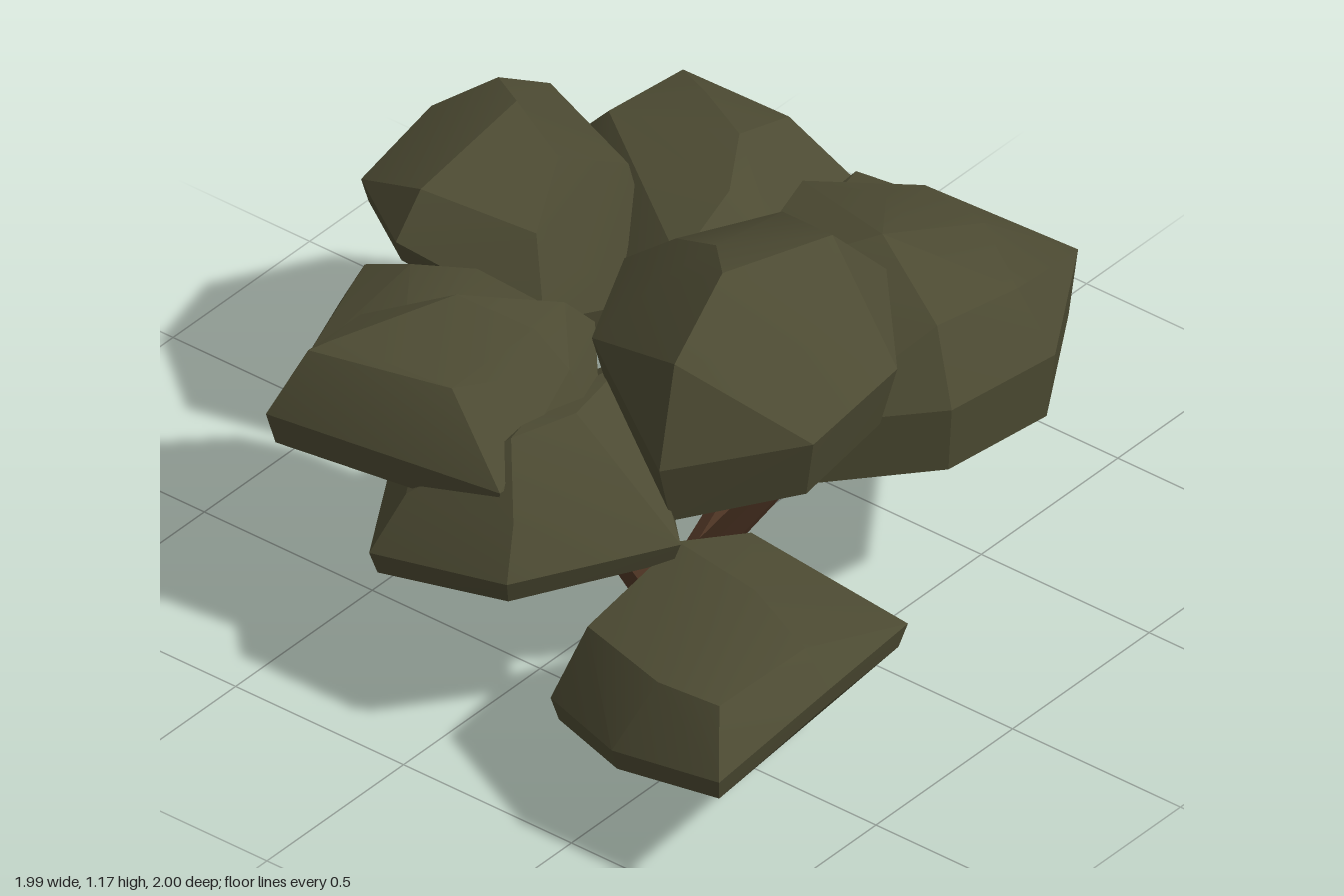
import * as THREE from 'three';
import { ConvexGeometry } from 'three/addons/geometries/ConvexGeometry.js';
import { toCreasedNormals } from 'three/addons/utils/BufferGeometryUtils.js';

const leaf = new THREE.MeshStandardMaterial({ color: 0x4d4b33 });
leaf.name = 'olive leaves';
const bark = new THREE.MeshStandardMaterial({ color: 0x553a28 });
bark.name = 'brown bark';

const V = (p) => new THREE.Vector3(...p);

// Faceted leaf clump: widest rim, shoulder ring, crown points and a flat underside
function clump(name, { rim, crown, drop = 0.06, shoulder = 0.78, rise = 0.64, inset = 0.05 }) {
  const ring = rim.map(V);
  const top = crown.map(V);
  const mid = ring.reduce((s, p) => s.add(p), new THREE.Vector3()).divideScalar(ring.length);
  const peak = Math.max(...top.map((p) => p.y));
  const points = [...ring, ...top];
  ring.forEach((p, i) => {
    const under = p.clone().lerp(mid, inset);
    under.y = p.y - drop;
    points.push(under);
    if (i % 3 !== 2) {
      const s = mid.clone().lerp(p, shoulder);
      s.y = p.y + (peak - p.y) * rise;
      points.push(s);
    }
  });
  const mesh = new THREE.Mesh(toCreasedNormals(new ConvexGeometry(points), 0.35), leaf);
  mesh.name = name;
  return mesh;
}

// Straight six-sided branch between two points
function branch(name, from, to) {
  const a = V(from), b = V(to);
  const dir = b.clone().sub(a);
  const geo = new THREE.CylinderGeometry(0.03, 0.042, dir.length(), 6);
  const mesh = new THREE.Mesh(toCreasedNormals(geo, 0.4), bark);
  mesh.name = name;
  mesh.position.copy(a).addScaledVector(dir, 0.5);
  mesh.quaternion.setFromUnitVectors(new THREE.Vector3(0, 1, 0), dir.normalize());
  return mesh;
}

const clumps = {
  topClump: {
    rim: [[-0.05, 0.93, 0.13], [0.04, 0.87, 0.36], [0.42, 0.78, 0.58], [0.7, 0.86, 0.36],
      [0.73, 0.94, 0.09], [0.51, 1.0, -0.14], [0.12, 0.88, -0.31]],
    crown: [[0.28, 1.15, 0.2], [0.38, 1.17, 0.3], [0.48, 1.17, 0.02], [0.4, 1.03, 0.5]],
    drop: 0.17, shoulder: 0.6, rise: 0.55, inset: 0.12,
  },
  rightClump: {
    rim: [[-0.02, 0.74, -0.4], [0.3, 0.8, -0.58], [0.65, 0.83, -0.67], [0.85, 0.8, -0.34],
      [0.77, 0.76, -0.06], [0.5, 0.71, 0.14], [0.12, 0.7, 0.1], [0.08, 0.72, -0.3]],
    crown: [[0.45, 1.04, -0.2], [0.55, 0.98, -0.45], [0.3, 0.98, -0.4]], drop: 0.18,
  },
  backClump: {
    rim: [[-0.22, 0.45, -0.91], [0.07, 0.35, -1.0], [0.41, 0.37, -0.83], [0.37, 0.38, -0.56],
      [0.1, 0.39, -0.29], [-0.1, 0.43, -0.34], [-0.2, 0.45, -0.6]],
    crown: [[0.1, 0.65, -0.7], [0.19, 0.63, -0.45], [-0.08, 0.63, -0.6]], shoulder: 0.8, rise: 0.7,
  },
  backLeftClump: {
    rim: [[-0.74, 0.58, -0.9], [-0.36, 0.54, -0.93], [-0.12, 0.49, -0.9], [-0.02, 0.44, -0.45],
      [-0.18, 0.45, -0.19], [-0.45, 0.48, -0.25], [-0.78, 0.57, -0.6]],
    crown: [[-0.35, 0.72, -0.66], [-0.52, 0.71, -0.75], [-0.25, 0.69, -0.5]],
  },
  leftClump: {
    rim: [[-0.83, 0.5, -0.6], [-1.0, 0.57, -0.25], [-0.94, 0.69, 0.0], [-0.69, 0.72, 0.18],
      [-0.33, 0.6, 0.08], [-0.34, 0.47, -0.24], [-0.45, 0.35, -0.5]],
    crown: [[-0.68, 0.89, -0.25], [-0.8, 0.86, -0.33], [-0.5, 0.85, -0.18]],
  },
  frontLeftClump: {
    rim: [[-0.56, 0.5, 0.15], [-0.71, 0.64, 0.36], [-0.62, 0.64, 0.61], [-0.35, 0.53, 0.63],
      [-0.05, 0.5, 0.5], [-0.03, 0.47, 0.2], [-0.25, 0.46, 0.13]],
    crown: [[-0.35, 0.86, 0.3], [-0.5, 0.84, 0.36], [-0.15, 0.83, 0.28]], drop: 0.08,
  },
  frontUpperClump: {
    rim: [[-0.54, 0.66, 0.84], [-0.52, 0.7, 0.62], [-0.32, 0.8, 0.42], [-0.04, 0.82, 0.25],
      [0.14, 0.7, 0.45], [0.1, 0.68, 0.77]],
    crown: [[-0.25, 0.94, 0.5], [-0.05, 0.91, 0.46], [-0.43, 0.86, 0.74], [-0.1, 0.85, 0.7]], drop: 0.08,
  },
  frontLowerClump: {
    rim: [[-0.45, 0.35, 0.5], [-0.2, 0.44, 0.88], [0.5, 0.62, 0.6], [0.21, 0.53, 0.88],
      [0.28, 0.58, 0.4], [0.02, 0.53, 0.12], [-0.3, 0.4, 0.28]],
    crown: [[0.05, 0.79, 0.58], [0.14, 0.8, 0.54], [0.06, 0.77, 0.68], [0.05, 0.75, 0.24]], rise: 0.4,
  },
  lowClump: {
    rim: [[0.35, 0.34, 0.5], [0.46, 0.39, 0.26], [0.9, 0.39, 0.26], [0.99, 0.46, 0.66],
      [0.94, 0.36, 1.0], [0.62, 0.31, 1.0], [0.34, 0.27, 0.88]],
    crown: [[0.45, 0.58, 0.55], [0.72, 0.59, 0.6], [0.85, 0.54, 0.68], [0.7, 0.5, 0.93]],
  },
};

const branches = {
  rightBranch: [[0.06, 0.02, 0.12], [0.47, 0.61, 0.06]],
  backBranch: [[0.07, 0.02, 0.09], [0.22, 0.64, -0.34]],
  frontBranch: [[0.05, 0.02, 0.14], [0.09, 0.52, 0.48]],
  leftBranch: [[0.03, 0.02, 0.13], [-0.3, 0.5, 0.17]],
};

export function createModel() {
  const tree = new THREE.Group();
  tree.name = 'tree';
  for (const [name, spec] of Object.entries(clumps)) tree.add(clump(name, spec));
  for (const [name, [from, to]] of Object.entries(branches)) tree.add(branch(name, from, to));

  // Stand the trunk on the ground
  const low = new THREE.Box3().setFromObject(tree, true).min.y;
  tree.children.forEach((c) => { c.position.y -= low; });
  return tree;
}
